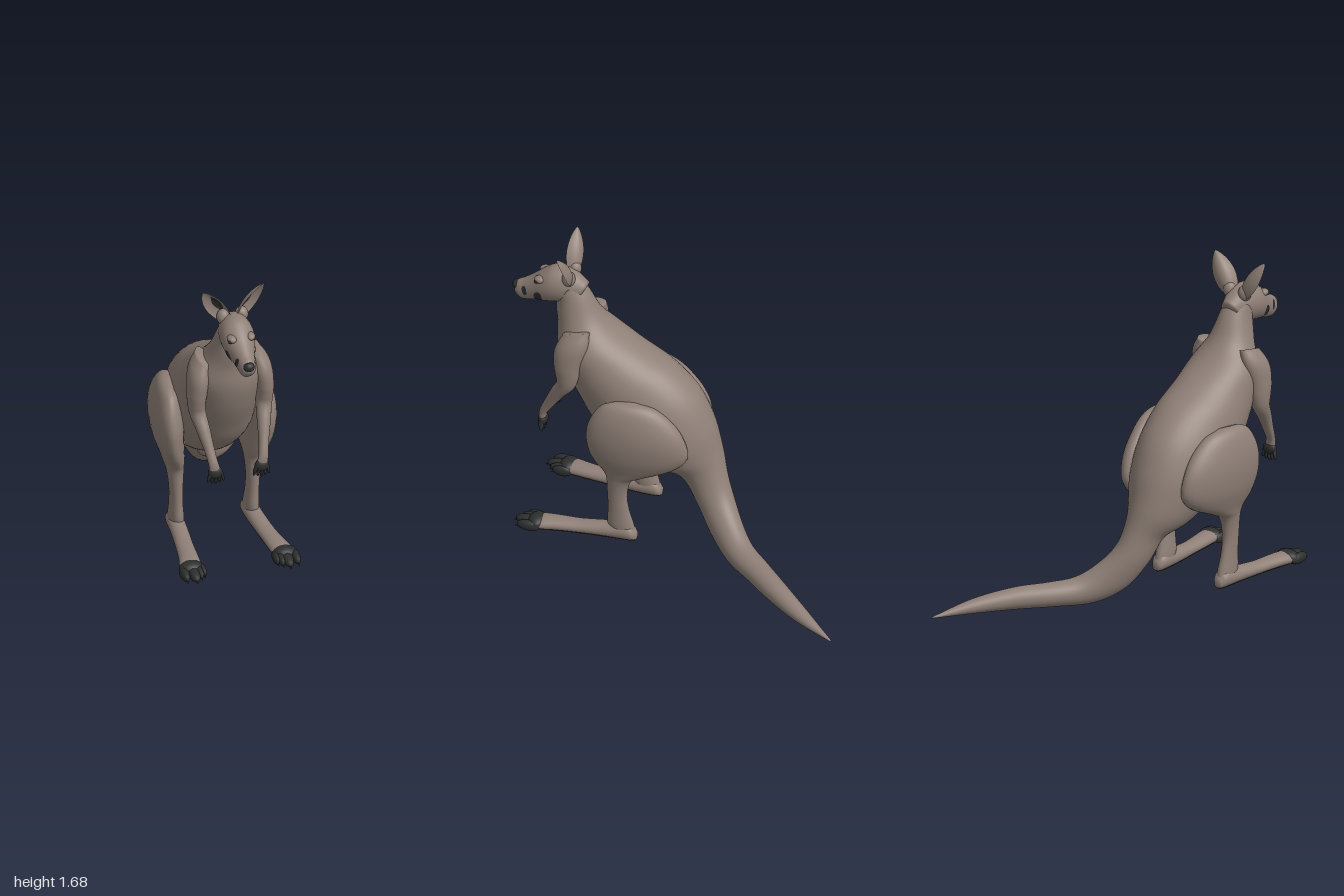
import * as THREE from 'three';

const V = (x, y, z) => new THREE.Vector3(x, y, z);

function material(name, color, side = THREE.FrontSide) {
  const m = new THREE.MeshStandardMaterial({ color, side });
  m.name = name;
  return m;
}

// Smooth surface through oval sections: [back xyz, front xyz, half width]
function surface(sections) {
  const curve = (f) => new THREE.CatmullRomCurve3(sections.map(f), false, 'catmullrom', 0.5);
  const back = curve((s) => V(s[0], s[1], s[2]));
  const front = curve((s) => V(s[3], s[4], s[5]));
  const width = curve((s) => V(s[6], 0, 0));
  const centre = (t) => back.getPoint(t).add(front.getPoint(t)).multiplyScalar(0.5);
  return (t, a, grow = 0, scale = 1) => {
    t = THREE.MathUtils.clamp(t, 0, 1);
    const c = centre(t);
    const h = front.getPoint(t).sub(c);
    const tangent = centre(Math.min(1, t + 0.01)).sub(centre(Math.max(0, t - 0.01)));
    const side = h.clone().cross(tangent).normalize();
    h.setLength(h.length() + grow);
    const w = Math.max(0.002, width.getPoint(t).x) + grow;
    return c.addScaledVector(h, Math.cos(a) * scale).addScaledVector(side, Math.sin(a) * w * scale);
  };
}

// Grid of points, optionally closed around the second direction
function grid(rows, cols, point, closed) {
  const pos = [], index = [], n = closed ? cols : cols + 1;
  for (let i = 0; i <= rows; i++)
    for (let j = 0; j < n; j++) pos.push(...point(i, j).toArray());
  for (let i = 0; i < rows; i++)
    for (let j = 0; j < cols; j++) {
      const a = i * n + j, b = i * n + (j + 1) % n;
      index.push(a, a + n, b, b, a + n, b + n);
    }
  const g = new THREE.BufferGeometry();
  g.setAttribute('position', new THREE.Float32BufferAttribute(pos, 3));
  g.setIndex(index);
  g.computeVertexNormals();
  return g;
}

// Closed skin over a surface, with pole rows at both ends
function skin(surf, rows, cols = 28) {
  return grid(rows + 2, cols, (i, j) => surf((i - 1) / rows, (j / cols) * Math.PI * 2, 0,
    i === 0 || i === rows + 2 ? 0 : 1), true);
}

// Thin oval marking that follows a surface
function patch(surf, t, a, rt, ra, grow = 0.003) {
  return grid(5, 20, (i, j) => {
    const r = i / 5, p = (j / 20) * Math.PI * 2;
    return surf(t + rt * r * Math.cos(p), a + ra * r * Math.sin(p), grow);
  }, true);
}

export function createModel() {
  const fur = material('fur', 0x8f8077);
  const earFur = material('ear fur', 0x8f8077, THREE.DoubleSide);
  earFur.color = fur.color;
  const dark = material('dark skin', 0x2d2e2e, THREE.DoubleSide);

  const model = new THREE.Group();
  model.name = 'kangaroo';
  const root = new THREE.Group();
  root.name = 'animal';
  root.position.x = -0.195;
  model.add(root);
  const add = (name, geometry, mat) => {
    const m = new THREE.Mesh(geometry, mat);
    m.name = name;
    root.add(m);
    return m;
  };
  const blob = (name, mat, p, r, rot = [0, 0, 0]) => {
    const m = add(name, new THREE.SphereGeometry(1, 18, 12), mat);
    m.position.set(...p);
    m.scale.set(...r);
    m.rotation.set(...rot);
    return m;
  };

  // Neck, torso and tail in one sweep
  add('torsoAndTail', skin(surface([
    [0, 1.49, 0.64, 0, 1.37, 0.74, 0.08],
    [0, 1.40, 0.575, 0, 1.30, 0.755, 0.09],
    [0, 1.28, 0.51, 0, 1.21, 0.745, 0.125],
    [0, 1.19, 0.42, 0, 1.08, 0.74, 0.185],
    [0, 1.10, 0.27, 0, 0.93, 0.695, 0.205],
    [0, 1.01, 0.11, 0, 0.78, 0.62, 0.222],
    [0, 0.88, -0.025, 0, 0.63, 0.53, 0.23],
    [0, 0.72, -0.105, 0, 0.48, 0.36, 0.215],
    [0.005, 0.56, -0.15, 0, 0.40, 0.19, 0.165],
    [0.03, 0.42, -0.19, 0.02, 0.36, 0.05, 0.105],
    [0.085, 0.305, -0.235, 0.035, 0.22, -0.05, 0.09],
    [0.18, 0.21, -0.30, 0.085, 0.09, -0.155, 0.082],
    [0.255, 0.155, -0.37, 0.195, 0.014, -0.29, 0.076],
    [0.335, 0.138, -0.47, 0.335, 0.008, -0.46, 0.07],
    [0.465, 0.125, -0.62, 0.465, 0.008, -0.62, 0.06],
    [0.595, 0.085, -0.80, 0.595, 0.008, -0.80, 0.042],
    [0.712, 0.018, -1.0, 0.712, 0.01, -1.0, 0.005],
  ]), 96, 40), fur);
  blob('groin', fur, [0, 0.405, 0.18], [0.045, 0.06, 0.065]);

  // Head, running from the nape to the muzzle
  const head = surface([
    [0, 1.46, 0.58, 0, 1.36, 0.64, 0.05],
    [0, 1.525, 0.67, 0, 1.33, 0.71, 0.082],
    [0, 1.535, 0.76, 0, 1.32, 0.76, 0.09],
    [0, 1.505, 0.82, 0, 1.31, 0.81, 0.082],
    [0, 1.455, 0.88, 0, 1.305, 0.855, 0.064],
    [0, 1.415, 0.935, 0, 1.292, 0.90, 0.05],
    [0, 1.395, 0.97, 0, 1.287, 0.94, 0.042],
    [0, 1.37, 0.985, 0, 1.305, 0.967, 0.032],
    [0, 1.35, 0.99, 0, 1.33, 0.985, 0.012],
  ]);
  add('head', skin(head, 48, 32), fur);
  blob('nose', dark, [0, 1.365, 0.974], [0.031, 0.027, 0.026], [0.4, 0, 0]);

  for (const s of [1, -1]) {
    const side = s > 0 ? 'left' : 'right';
    // Mirrored sections: [x, back y, back z, front y, front z, half width, back dx, front dx]
    const limb = (list) => surface(list.map(([x, by, bz, fy, fz, w, db = 0, df = 0]) =>
      [s * (x + db), by, bz, s * (x + df), fy, fz, w]));

    // Face markings and eyes
    add(side + 'CheekPatch', patch(head, 0.44, s * 1.2, 0.06, 0.38), dark);
    add(side + 'MuzzlePatch', patch(head, 0.625, s * 1.8, 0.036, 0.42), dark);
    blob(side + 'Brow', fur, [s * 0.05, 1.463, 0.832], [0.026, 0.02, 0.034]);
    blob(side + 'Eye', dark, [s * 0.062, 1.457, 0.846], [0.013, 0.011, 0.017], [0, s * 0.5, 0]);

    // Cupped ear opening forward and outward
    const base = V(s * 0.045, 1.495, 0.68), axis = V(s * 0.122, 0.195, 0.02);
    const up = axis.clone().normalize();
    const open = V(s * 0.6, 0, 0.8);
    open.addScaledVector(up, -open.dot(up)).normalize();
    const across = up.clone().cross(open);
    const ear = (u, v, lift) => {
      const w = 0.06 * Math.pow(Math.max(0, Math.sin(Math.PI * (0.2 + 0.8 * u))), 0.75);
      return base.clone().addScaledVector(axis, u).addScaledVector(across, v * w)
        .addScaledVector(open, lift - 0.65 * w * (1 - v * v));
    };
    add(side + 'Ear', grid(18, 14, (i, j) => ear(i / 18, j / 7 - 1, 0)), earFur);
    add(side + 'EarLining', grid(10, 6, (i, j) => ear(0.15 + 0.055 * i,
      (j / 3 - 1) * 0.4 * Math.sin(Math.PI * (0.1 + 0.09 * i)), 0.004)), dark);
    blob(side + 'EarRoot', fur, [s * 0.05, 1.505, 0.675], [0.036, 0.045, 0.036]);

    // Arm
    add(side + 'Arm', skin(limb([
      [0.14, 1.25, 0.53, 1.22, 0.67, 0.035],
      [0.168, 1.17, 0.53, 1.13, 0.71, 0.055],
      [0.182, 1.06, 0.56, 1.04, 0.71, 0.053],
      [0.185, 0.97, 0.575, 0.98, 0.70, 0.047],
      [0.18, 0.90, 0.60, 0.93, 0.695, 0.043],
      [0.165, 0.82, 0.665, 0.86, 0.73, 0.036],
      [0.15, 0.74, 0.72, 0.77, 0.77, 0.028],
      [0.138, 0.68, 0.76, 0.69, 0.803, 0.026],
      [0.13, 0.64, 0.77, 0.64, 0.808, 0.03],
    ]), 48), fur);

    // Hand with five clawed fingers
    blob(side + 'Palm', dark, [s * 0.127, 0.625, 0.788], [0.04, 0.036, 0.026]);
    for (let i = 0; i < 5; i++) {
      const d = i - 2;
      blob(side + 'Finger', dark, [s * (0.125 + d * 0.017), 0.593 + Math.abs(d) * 0.006, 0.79],
        [0.0095, 0.04, 0.014], [0.1, 0, s * d * 0.12]);
    }

    // Haunch and shank
    add(side + 'HindLeg', skin(limb([
      [0.235, 0.915, 0.25, 0.912, 0.37, 0.012, -0.02, 0.01],
      [0.238, 0.885, 0.14, 0.88, 0.43, 0.055, -0.03, 0.02],
      [0.238, 0.80, 0.04, 0.80, 0.48, 0.08, -0.04, 0.03],
      [0.238, 0.70, -0.02, 0.70, 0.505, 0.088, -0.04, 0.03],
      [0.23, 0.60, -0.03, 0.60, 0.495, 0.084, -0.04, 0.03],
      [0.222, 0.52, 0.04, 0.52, 0.47, 0.072, -0.03, 0.02],
      [0.215, 0.45, 0.19, 0.45, 0.43, 0.056],
      [0.212, 0.40, 0.27, 0.40, 0.41, 0.046],
      [0.21, 0.30, 0.297, 0.30, 0.405, 0.037],
      [0.208, 0.20, 0.287, 0.20, 0.402, 0.035],
      [0.205, 0.10, 0.26, 0.10, 0.405, 0.04],
      [0.205, 0.035, 0.25, 0.035, 0.38, 0.035],
    ]), 66, 32), fur);

    // Long foot with a dark sole
    const foot = limb([
      [0.205, 0.065, 0.245, 0.022, 0.245, 0.02],
      [0.205, 0.11, 0.29, 0.014, 0.275, 0.043],
      [0.21, 0.10, 0.40, 0.014, 0.40, 0.046],
      [0.225, 0.085, 0.55, 0.016, 0.55, 0.047],
      [0.24, 0.085, 0.68, 0.016, 0.68, 0.053],
      [0.253, 0.08, 0.76, 0.016, 0.76, 0.058],
      [0.256, 0.05, 0.80, 0.02, 0.80, 0.045],
    ]);
    add(side + 'Foot', skin(foot, 30), fur);
    add(side + 'Sole', patch(foot, 0.52, 0, 0.46, 0.95), dark);

    // Dark forefoot, toes and claws: [x, length, radius]
    blob(side + 'Forefoot', dark, [s * 0.255, 0.05, 0.775], [0.066, 0.039, 0.05]);
    for (const [x, reach, r] of [[0.2, 0.85, 0.018], [0.222, 0.87, 0.02], [0.255, 0.895, 0.03], [0.303, 0.875, 0.024]]) {
      blob(side + 'Toe', dark, [s * x, 0.042, (0.745 + reach) / 2], [r, 0.03, (reach - 0.745) / 2]);
      const claw = add(side + 'Claw', new THREE.ConeGeometry(r * 0.5, 0.06, 10), dark);
      claw.position.set(s * x, 0.03, reach - 0.015);
      claw.rotation.x = Math.PI / 2 + 0.2;
    }
  }
  return model;
}
